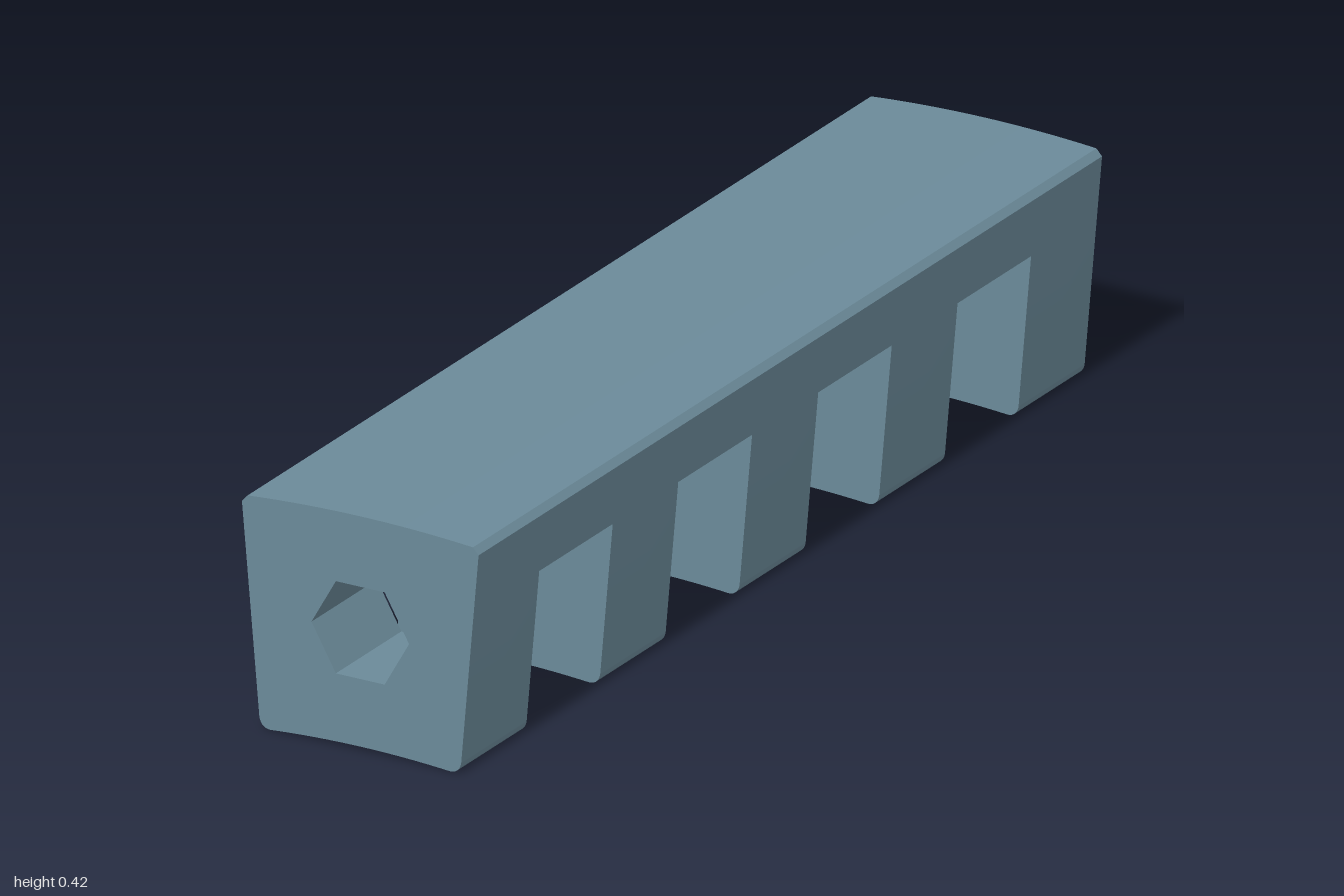
import * as THREE from 'three';
import { toCreasedNormals } from 'three/addons/utils/BufferGeometryUtils.js';

const SPLIT = 0.294;   // slot ceiling, level with the top of the hex bore
const SPLIT_X = 0.2186; // half width of the section at that height

// Extrude a section along z between two positions
function extrude(shape, z0, z1, material, name) {
  const geo = new THREE.ExtrudeGeometry(shape, { depth: z1 - z0, bevelEnabled: false, curveSegments: 16 });
  geo.translate(0, 0, z0);
  const mesh = new THREE.Mesh(toCreasedNormals(geo, 0.5), material);
  mesh.name = name;
  return mesh;
}

// Upper section: crowned top with chamfered corners
function spineShape() {
  const s = new THREE.Shape();
  s.moveTo(-SPLIT_X, SPLIT);
  s.lineTo(SPLIT_X, SPLIT);
  s.lineTo(0.228, 0.399);
  s.lineTo(0.217, 0.411);
  s.quadraticCurveTo(0, 0.429, -0.217, 0.411);
  s.lineTo(-0.228, 0.399);
  s.closePath();
  return s;
}

// Lower section: rounded corners, hollowed base, lower part of the hex bore
function legShape() {
  const s = new THREE.Shape();
  s.moveTo(-SPLIT_X, SPLIT);
  s.lineTo(-0.1945, 0.021);
  s.bezierCurveTo(-0.193, 0.009, -0.185, 0, -0.172, 0.001);
  s.quadraticCurveTo(0, 0.015, 0.172, 0.001);
  s.bezierCurveTo(0.185, 0, 0.193, 0.009, 0.1945, 0.021);
  s.lineTo(SPLIT_X, SPLIT);
  s.lineTo(0.047, SPLIT);
  s.lineTo(0.094, 0.2115);
  s.lineTo(0.047, 0.129);
  s.lineTo(-0.047, 0.129);
  s.lineTo(-0.094, 0.2115);
  s.lineTo(-0.047, SPLIT);
  s.closePath();
  return s;
}

export function createModel() {
  const group = new THREE.Group();
  group.name = 'slottedBar';
  const steel = new THREE.MeshStandardMaterial({ color: 0x6b8a99 });
  steel.name = 'blue grey';

  // Full-length spine
  group.add(extrude(spineShape(), -1, 1, steel, 'spine'));

  // Five legs separated by four slots
  const legs = [[-1, -0.788], [-0.552, -0.341], [-0.105, 0.107], [0.344, 0.554], [0.79, 1]];
  legs.forEach(([z0, z1], i) => group.add(extrude(legShape(), z0, z1, steel, `leg${i + 1}`)));
  return group;
}
